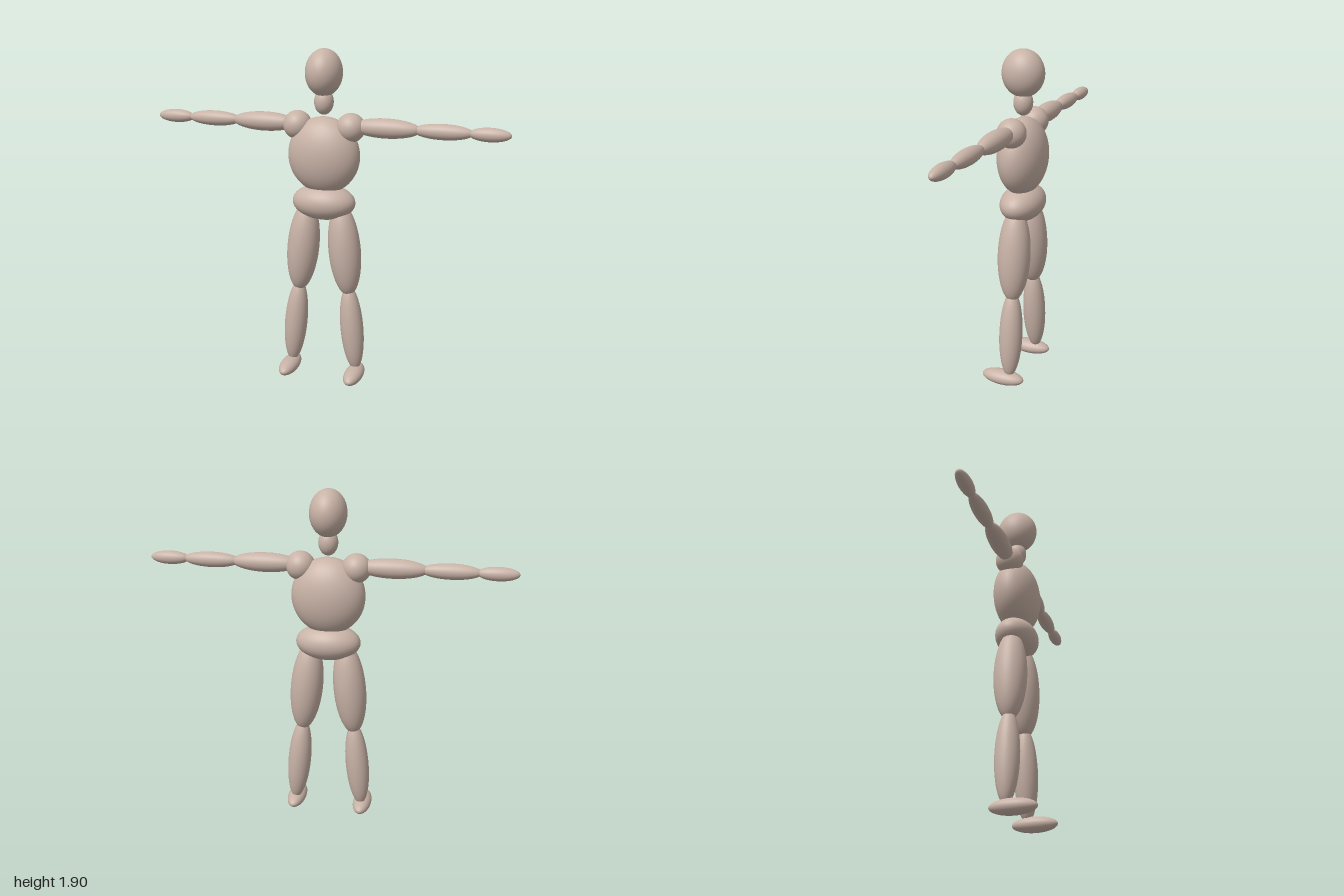
import * as THREE from 'three';

export function createModel() {
  const model = new THREE.Group();
  const skin = new THREE.MeshStandardMaterial({ color: 0xc8b2a6 });
  skin.name = 'warm clay';
  const ball = new THREE.SphereGeometry(1, 40, 28);
  const Z = -0.019; // depth of the body's centre line

  // One ellipsoid body part: centre, radii and lean about z
  function part(name, [x, y, z], radii, lean = 0) {
    const mesh = new THREE.Mesh(ball, skin);
    mesh.name = name;
    mesh.position.set(x, y, z);
    mesh.scale.set(...radii);
    mesh.rotation.z = lean;
    model.add(mesh);
  }

  // Head and trunk
  part('head', [0, 1.77, Z], [0.1, 0.127, 0.117]);
  part('neck', [0, 1.615, Z], [0.053, 0.07, 0.053]);
  part('chest', [0, 1.322, Z], [0.203, 0.213, 0.128]);
  part('pelvis', [0, 1.058, Z], [0.18, 0.1, 0.117]);

  // Limbs, mirrored
  for (const [side, s] of [['left', 1], ['right', -1]]) {
    part(side + 'Shoulder', [s * 0.152, 1.482, Z], [0.079, 0.079, 0.079]);
    part(side + 'UpperArm', [s * 0.345, 1.49, Z], [0.19, 0.053, 0.053]);
    part(side + 'Forearm', [s * 0.65, 1.49, Z], [0.16, 0.042, 0.042]);
    part(side + 'Hand', [s * 0.89, 1.49, Z], [0.11, 0.037, 0.037]);
    part(side + 'Thigh', [s * 0.123, 0.785, Z], [0.091, 0.27, 0.091], s * 0.1);
    part(side + 'Shin', [s * 0.171, 0.315, Z], [0.066, 0.26, 0.066], s * 0.095);
    part(side + 'Foot', [s * 0.198, 0.043, 0.021], [0.053, 0.043, 0.127]);
  }
  return model;
}
